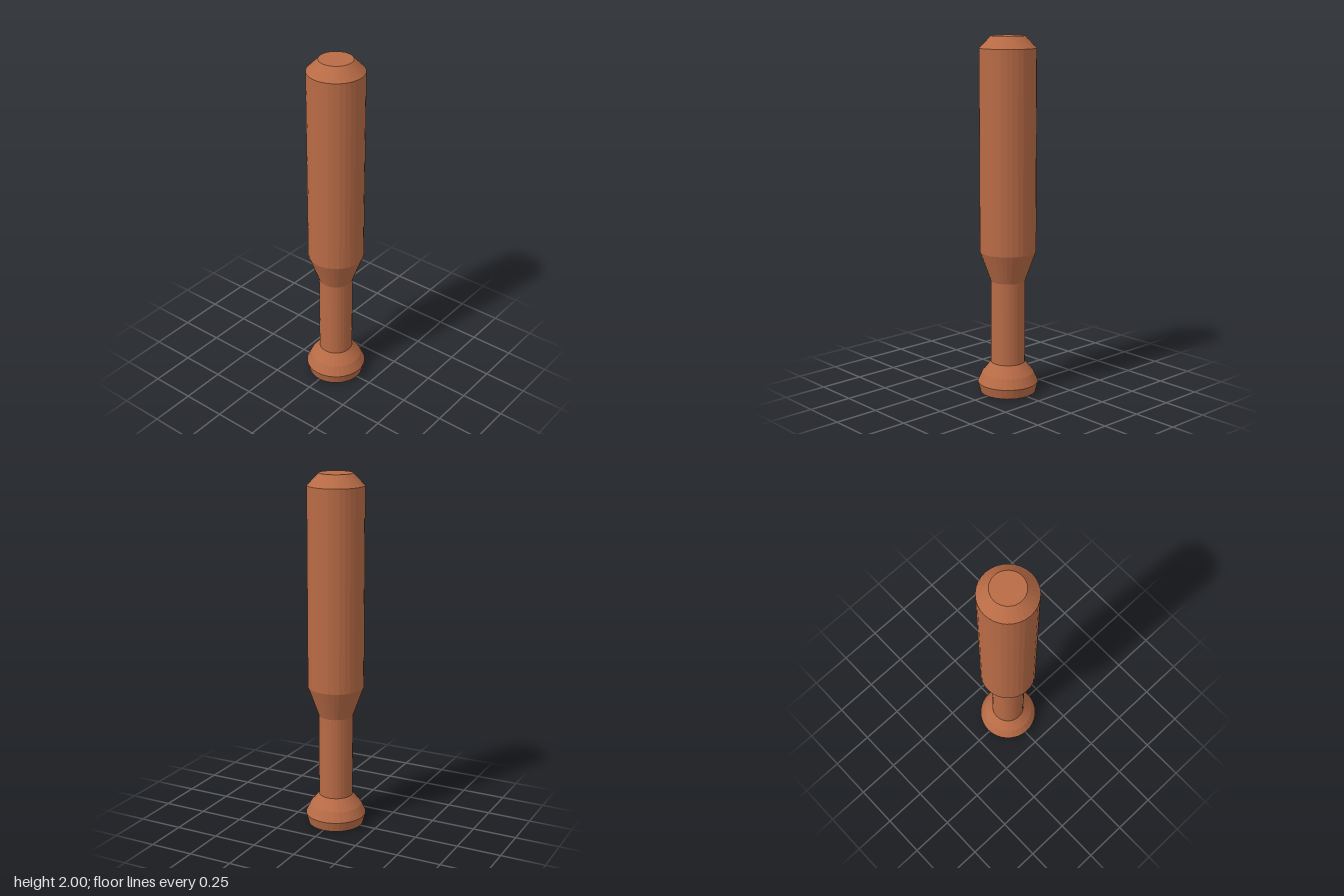
import * as THREE from 'three';

const SIDES = 32;

export function createModel() {
  const group = new THREE.Group();
  const wood = new THREE.MeshStandardMaterial({ color: 0xb86b46, flatShading: true });

  // Turned part from a profile of [radius, height], bottom to top
  const turned = (name, profile) => {
    const points = profile.map(([r, y]) => new THREE.Vector2(r, y));
    const mesh = new THREE.Mesh(new THREE.LatheGeometry(points, SIDES), wood);
    mesh.name = name;
    group.add(mesh);
  };

  // Rounded knob with a flat base
  turned('knob', [[0, 0], [0.157, 0], [0.172, 0.057], [0.146, 0.112], [0.096, 0.174]]);
  // Slim grip
  turned('handle', [[0.096, 0.174], [0.096, 0.645]]);
  // Flare from the grip to the barrel
  turned('taper', [[0.096, 0.645], [0.157, 0.813]]);
  // Thick barrel
  turned('barrel', [[0.157, 0.813], [0.157, 1.934]]);
  // Chamfered end with a flat top
  turned('barrelEnd', [[0.157, 1.934], [0.093, 2], [0, 2]]);

  return group;
}
